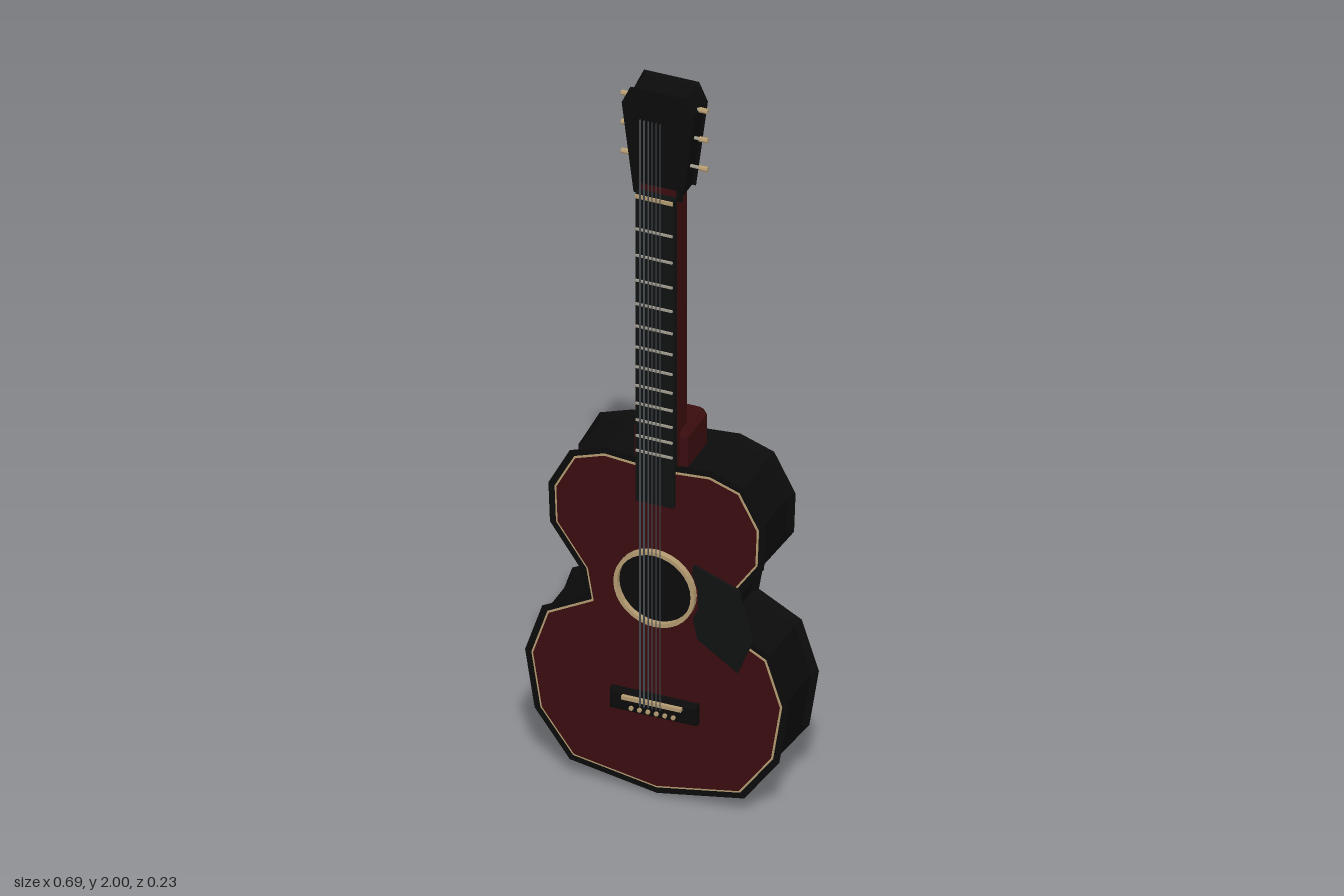
import * as THREE from 'three';

const mat = (name, color) => {
  const m = new THREE.MeshStandardMaterial({ color, flatShading: true });
  m.name = name;
  return m;
};

export function createModel() {
  const black = mat('black lacquer', 0x0b0b0b);
  const ebony = mat('ebony', 0x101212);
  const red = mat('dark red wood', 0x3a0c0e);
  const cream = mat('cream trim', 0xb39a70);
  const metal = mat('fret metal', 0xa09a8c);
  const steel = mat('string steel', 0x464c52);

  const guitar = new THREE.Group();
  guitar.name = 'guitar';
  const add = (name, geometry, material, x = 0, y = 0, z = 0) => {
    const mesh = new THREE.Mesh(geometry, material);
    mesh.name = name;
    mesh.position.set(x, y, z);
    guitar.add(mesh);
    return mesh;
  };
  const box = (name, material, w, h, d, x, y, z) =>
    add(name, new THREE.BoxGeometry(w, h, d), material, x, y, z);
  const polygon = pts => new THREE.Shape(pts.map(p => new THREE.Vector2(...p)));
  // Mirrors a right-hand outline (bottom to top) into a closed polygon
  const mirrored = pts => polygon([
    ...pts, ...pts.filter(p => p[0] > 0).reverse().map(([x, y]) => [-x, y])]);
  // Slab between two depths whose front and back rims flare outward
  const flared = (shape, z0, z1, flare, rim) => new THREE.ExtrudeGeometry(shape, {
    depth: z1 - z0 - 2 * rim, bevelThickness: rim, bevelSize: -flare, bevelSegments: 1,
  }).translate(0, 0, z0 + rim);
  // Thin plate whose outline is inset from the given shape
  const inset = (shape, amount, z0, z1) => new THREE.ExtrudeGeometry(shape, {
    depth: z1 - z0 - 0.002, bevelThickness: 0.001, bevelSize: 0,
    bevelOffset: -amount, bevelSegments: 1,
  }).translate(0, 0, z0 + 0.001);

  // Body with flared edges, purfling and soundboard
  const outline = mirrored([
    [0, 0.01], [0.228, 0.05], [0.32, 0.175], [0.345, 0.335], [0.3, 0.47], [0.188, 0.53],
    [0.2, 0.6], [0.28, 0.715], [0.284, 0.825], [0.228, 0.93], [0.14, 0.96], [0.04, 0.952]]);
  add('body', flared(outline, -0.115, 0.07, 0.014, 0.015), black);
  add('purfling', inset(outline, 0.017, 0.069, 0.0725), cream);
  add('soundboard', inset(outline, 0.022, 0.069, 0.074), red);
  box('backStrip', black, 0.008, 0.92, 0.004, 0, 0.485, -0.1155);
  add('endPin', new THREE.CylinderGeometry(0.01, 0.01, 0.03, 8), black, 0, 0.015, -0.02);

  // Sound hole and rosette
  add('soundHole', new THREE.CircleGeometry(0.1, 32), black, 0, 0.6, 0.0755);
  const ring = new THREE.Shape().absarc(0, 0, 0.106, 0, Math.PI * 2);
  ring.holes.push(new THREE.Path().absarc(0, 0, 0.096, 0, Math.PI * 2, true));
  add('rosette', new THREE.ExtrudeGeometry(ring, {
    depth: 0.02, bevelEnabled: false, curveSegments: 16 }), cream, 0, 0.6, 0.07);

  // Pickguard follows the curve of the hole
  const guard = polygon([
    [0.11, 0.48], [0.215, 0.41], [0.253, 0.505], [0.215, 0.645], [0.1, 0.688],
    [0.095, 0.665], [0.112, 0.62], [0.112, 0.57], [0.098, 0.535]]);
  add('pickguard', inset(guard, 0, 0.072, 0.081), ebony);

  // Bridge, saddle and pins
  add('bridge', new THREE.ExtrudeGeometry(mirrored([[0.108, 0.246], [0.108, 0.29]]), {
    depth: 0.015, bevelThickness: 0.006, bevelSize: 0.006, bevelSegments: 1,
  }), black, 0, 0, 0.077);
  box('saddle', cream, 0.156, 0.01, 0.012, 0, 0.284, 0.102);
  for (let i = 0; i < 6; i++) {
    add('bridgePin', new THREE.CylinderGeometry(0.006, 0.006, 0.008, 8).rotateX(Math.PI / 2),
      cream, (i - 2.5) * 0.022, 0.255, 0.099);
  }

  // Neck and heel: chamfered sections raised along y
  const raised = (section, y0, y1, bevel = 0) => new THREE.ExtrudeGeometry(
    mirrored(section.map(([x, z]) => [x, -z])), {
      depth: y1 - y0 - 2 * bevel, bevelEnabled: bevel > 0,
      bevelThickness: bevel, bevelSize: bevel, bevelOffset: -bevel, bevelSegments: 1,
    }).rotateX(-Math.PI / 2).translate(0, y0 + bevel, 0);
  add('neck', raised([[0.048, 0.067], [0.048, -0.003], [0.032, -0.02]], 0.93, 1.732), red);
  add('heel', raised([[0.07, 0.045], [0.07, -0.072], [0.054, -0.09]], 0.88, 1.036, 0.012), red);

  // Fretboard, nut and frets in equal-tempered spacing
  box('fretboard', ebony, 0.1, 0.876, 0.02, 0, 1.278, 0.076);
  box('nut', cream, 0.098, 0.01, 0.022, 0, 1.708, 0.079);
  for (let n = 1; n <= 12; n++) {
    box('fret', metal, 0.096, 0.006, 0.006, 0, 0.275 + 1.42 * 2 ** (-n / 12), 0.087);
  }

  // Headstock and tuning pegs
  const head = mirrored([[0.064, 1.703], [0.095, 1.95], [0.072, 2]]);
  add('headstock', flared(head, -0.02, 0.064, 0.007, 0.008), black);
  for (const side of [-1, 1]) {
    for (const y of [1.785, 1.867, 1.95]) {
      add('pegShaft', new THREE.CylinderGeometry(0.0045, 0.0045, 0.05, 8).rotateZ(Math.PI / 2),
        metal, side * 0.088, y, 0.022);
      add('pegButton', new THREE.CylinderGeometry(0.007, 0.007, 0.022, 8).rotateZ(Math.PI / 2),
        cream, side * 0.102, y, 0.022);
    }
  }

  // Strings
  for (let i = 0; i < 6; i++) {
    const r = 0.0021 - i * 0.00018;
    add('string', new THREE.CylinderGeometry(r, r, 1.67, 6), steel,
      (i - 2.5) * 0.0105, 1.11, 0.113);
  }
  return guitar;
}
